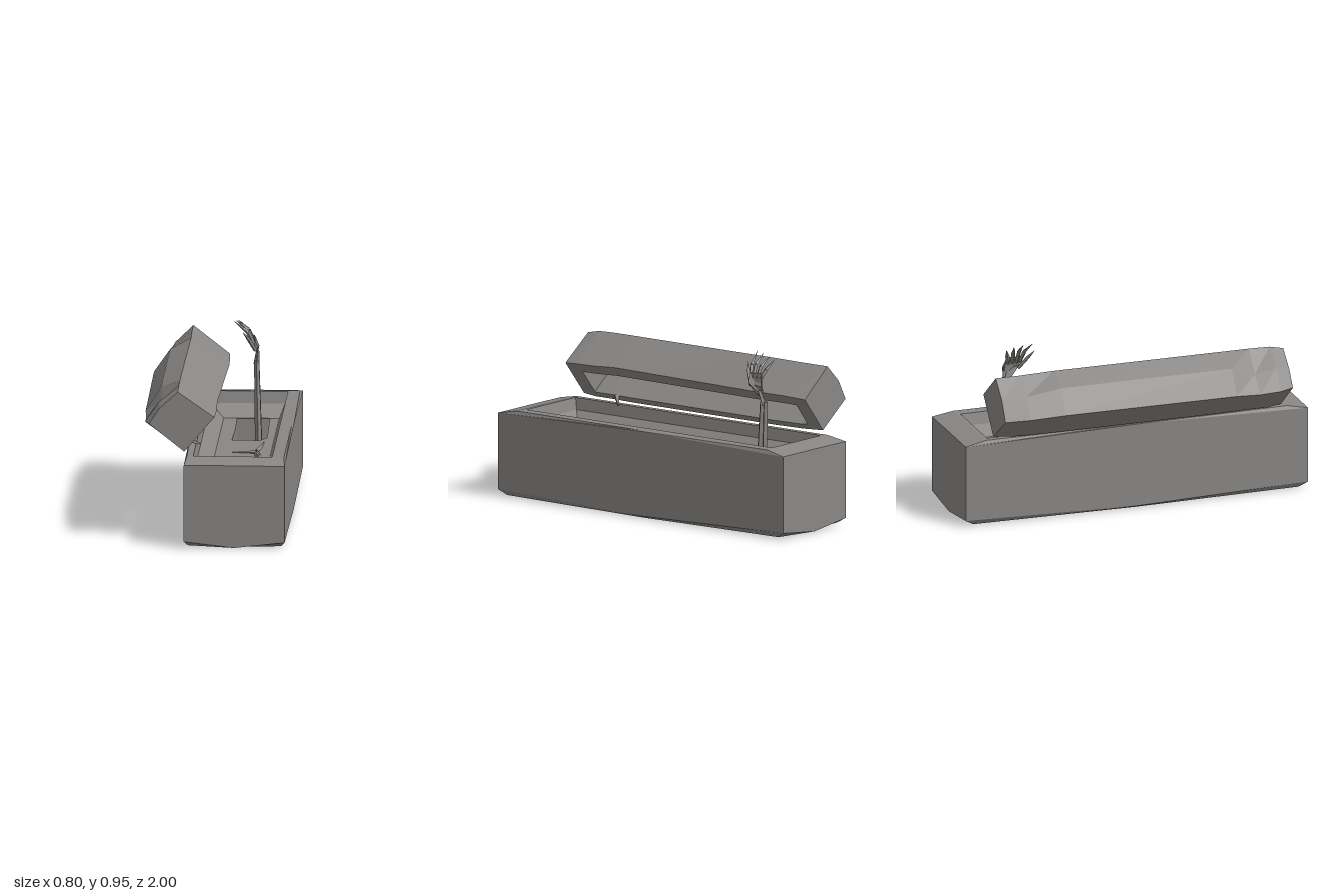
import * as THREE from 'three';

const stone = new THREE.MeshStandardMaterial({ color: 0x898785, flatShading: true, side: THREE.DoubleSide });
stone.name = 'grey stone';

const V = (x, y, z) => new THREE.Vector3(x, y, z);

function add(parent, geometry, name) {
  const mesh = new THREE.Mesh(geometry, stone);
  mesh.name = name;
  parent.add(mesh);
  return mesh;
}

// Collects polygons (fans of corners) into one geometry
class Faces {
  constructor() { this.p = []; }
  poly(...c) {
    for (let i = 1; i < c.length - 1; i++) {
      for (const v of [c[0], c[i], c[i + 1]]) this.p.push(v.x, v.y, v.z);
    }
  }
  // band of quads between two closed rings
  band(a, b) {
    a.forEach((_, i) => {
      const j = (i + 1) % a.length;
      this.poly(a[i], a[j], b[j], b[i]);
    });
  }
  build() {
    const g = new THREE.BufferGeometry();
    g.setAttribute('position', new THREE.Float32BufferAttribute(this.p, 3));
    g.computeVertexNormals();
    return g;
  }
}

// Rectangular ring with mid points on all sides, which may sit at another height
function ring(x0, x1, z, y, midY = y, endY = y) {
  const m = (x0 + x1) / 2;
  return [V(x0, y, z), V(m, endY, z), V(x1, y, z), V(x1, midY, 0),
    V(x1, y, -z), V(m, endY, -z), V(x0, y, -z), V(x0, midY, 0)];
}

function coffinBase() {
  const f = new Faces();
  const rings = [
    ring(-0.09, 0.32, 0.86, 0.05),                 // underside panel
    ring(-0.09, 0.32, 0.86, 0.004),
    ring(-0.14, 0.375, 0.95, 0.008, 0.0, 0.002),
    ring(-0.16, 0.395, 1.0, 0.038, 0.012, 0.006),  // lower edge
    ring(-0.16, 0.395, 1.0, 0.467, 0.487, 0.468),  // upper edge
    ring(-0.15, 0.385, 0.88, 0.49),
    ring(-0.115, 0.32, 0.86, 0.49),                // opening
    ring(-0.105, 0.305, 0.845, 0.425),
    ring(-0.03, 0.275, 0.78, 0.355),               // sloping filling
  ];
  for (let i = 0; i < rings.length - 1; i++) f.band(rings[i], rings[i + 1]);
  f.poly(...[...rings[0]].reverse());
  return f.build();
}

// Filling inside the coffin, broken open toward the back
const holeOutline = [[0.045, 0.2], [0.2, 0.2], [0.235, 0.27], [0.225, 0.77], [0.045, 0.76], [0.05, 0.5]]
  .map(([x, y]) => new THREE.Vector2(x, y));

function innerSlab() {
  const s = new THREE.Shape([[-0.03, -0.78], [0.275, -0.78], [0.275, 0.78], [-0.03, 0.78]]
    .map(([x, y]) => new THREE.Vector2(x, y)));
  s.holes.push(new THREE.Path(holeOutline));
  const g = new THREE.ExtrudeGeometry(s, { depth: 0.215, bevelEnabled: false });
  g.rotateX(-Math.PI / 2);
  g.translate(0, 0.14, 0);
  return g;
}

function holeFloor() {
  const g = new THREE.ShapeGeometry(new THREE.Shape(holeOutline));
  g.rotateX(-Math.PI / 2);
  g.translate(0, 0.14, 0);
  return g;
}

// Tilted lid: cross-sections along z, hollowed on the face toward the opening
function lid() {
  const f = new Faces();
  // z, ridge, shoulder, left edge, bottom edge, right edge
  const rows = [
    [0.84, -0.20, 0.845, -0.30, 0.755, -0.36, 0.665, -0.165, 0.51, 0.0, 0.705],
    [0.76, -0.20, 0.862, -0.31, 0.77, -0.385, 0.66, -0.17, 0.50, 0.005, 0.71],
    [0.64, -0.20, 0.865, -0.30, 0.75, -0.385, 0.655, -0.17, 0.50, 0.005, 0.712],
    [0.50, -0.20, 0.865, -0.31, 0.80, -0.395, 0.665, -0.17, 0.497, 0.0, 0.72],
    [-0.50, -0.195, 0.865, -0.31, 0.80, -0.40, 0.67, -0.17, 0.497, 0.015, 0.712],
    [-0.70, -0.20, 0.862, -0.305, 0.77, -0.385, 0.66, -0.17, 0.50, 0.01, 0.712],
    [-0.84, -0.20, 0.862, -0.30, 0.765, -0.36, 0.655, -0.16, 0.51, 0.0, 0.705],
  ];
  const secs = rows.map(([z, ...c]) => [0, 2, 4, 6, 8].map(i => V(c[i], c[i + 1], z)));
  const deep = V(-0.18, 0.132, 0);
  const last = secs.length - 1;
  // rim and hollow corners across the open face
  const lips = secs.map((s, i) => [0.24, 0.86].map(t => {
    const z = THREE.MathUtils.clamp(s[0].z, -0.75, 0.75);
    return s[4].clone().lerp(s[3], t).setZ(z);
  }));
  for (let i = 0; i < last; i++) {
    const a = secs[i], b = secs[i + 1];
    for (const [k, n] of [[0, 1], [1, 2], [2, 3], [4, 0]]) f.poly(a[k], a[n], b[n], b[k]);
    const [t0, u0] = lips[i], [t1, u1] = lips[i + 1];
    f.poly(a[4], b[4], t1, t0);
    f.poly(u0, u1, b[3], a[3]);
    const [T0, U0, T1, U1] = [t0, u0, t1, u1].map(v => v.clone().add(deep));
    f.poly(t0, t1, T1, T0);
    f.poly(U0, U1, u1, u0);
    f.poly(T0, T1, U1, U0);
  }
  // closed ends, rim and hollow ends
  for (const i of [0, last]) {
    const s = secs[i], [t, u] = lips[i];
    const ends = [[s[4], t, u, s[3]], [t, t.clone().add(deep), u.clone().add(deep), u], [...s]];
    ends.forEach(q => f.poly(...(i ? q.reverse() : q)));
  }
  return f.build();
}

// Four-sided tapered bone between two points
function bone(parent, a, b, r0, r1, name) {
  const d = b.clone().sub(a);
  const mesh = add(parent, new THREE.CylinderGeometry(r1, r0, d.length(), 4), name);
  mesh.position.copy(a).addScaledVector(d, 0.5);
  mesh.quaternion.setFromUnitVectors(V(0, 1, 0), d.normalize());
}

function raisedArm() {
  const g = new THREE.Group();
  g.name = 'raisedArm';
  bone(g, V(0.17, 0.14, -0.69), V(0.157, 0.70, -0.69), 0.02, 0.014, 'forearmBone');
  bone(g, V(0.17, 0.14, -0.645), V(0.157, 0.70, -0.665), 0.02, 0.014, 'forearmBone');
  bone(g, V(0.155, 0.68, -0.68), V(0.165, 0.76, -0.65), 0.016, 0.01, 'wrist');
  // flat palm
  const f = new Faces();
  const outline = [[0.147, 0.72, -0.67], [0.15, 0.73, -0.625], [0.16, 0.79, -0.575],
    [0.135, 0.84, -0.57], [0.135, 0.845, -0.65], [0.16, 0.78, -0.67]].map(c => V(...c));
  const back = outline.map(v => v.clone().add(V(0.012, 0.008, 0)));
  f.band(outline, back);
  f.poly(...[...outline].reverse());
  f.poly(...back);
  add(g, f.build(), 'palm');
  // fingers: knuckle z, middle joint, tip
  const fingers = [
    [-0.575, [0.115, 0.885, -0.56], [0.04, 0.95, -0.54]],
    [-0.595, [0.115, 0.89, -0.59], [0.05, 0.945, -0.59]],
    [-0.62, [0.115, 0.885, -0.625], [0.06, 0.935, -0.64]],
    [-0.645, [0.115, 0.87, -0.66], [0.07, 0.92, -0.68]],
  ];
  for (const [z, mid, tip] of fingers) {
    bone(g, V(0.145, 0.82, z), V(...mid), 0.011, 0.012, 'finger');
    bone(g, V(...mid), V(...tip), 0.012, 0.001, 'fingertip');
  }
  bone(g, V(0.155, 0.78, -0.58), V(0.12, 0.85, -0.535), 0.011, 0.011, 'thumb');
  bone(g, V(0.12, 0.85, -0.535), V(0.09, 0.893, -0.51), 0.011, 0.001, 'thumbTip');
  return g;
}

export function createModel() {
  const model = new THREE.Group();
  model.name = 'openCoffin';
  add(model, coffinBase(), 'coffinBase');
  add(model, innerSlab(), 'innerSlab');
  add(model, holeFloor(), 'holeFloor');
  add(model, lid(), 'lid');
  model.add(raisedArm());

  // bony arm resting on the filling
  const arm = new THREE.Group();
  arm.name = 'restingArm';
  bone(arm, V(0.225, 0.345, -0.15), V(0.195, 0.36, 0.12), 0.012, 0.014, 'restingForearm');
  for (const [x, z] of [[0.05, 0.12], [0.23, 0.2], [0.21, 0.3], [0.2, 0.45]]) {
    bone(arm, V(0.2, 0.36, 0.14), V(x, 0.352, z), 0.012, 0.002, 'restingFinger');
  }
  model.add(arm);

  // stone chip wedged under the lid
  bone(model, V(-0.15, 0.525, 0.6), V(-0.09, 0.49, 0.54), 0.018, 0.004, 'stoneChip');
  return model;
}
